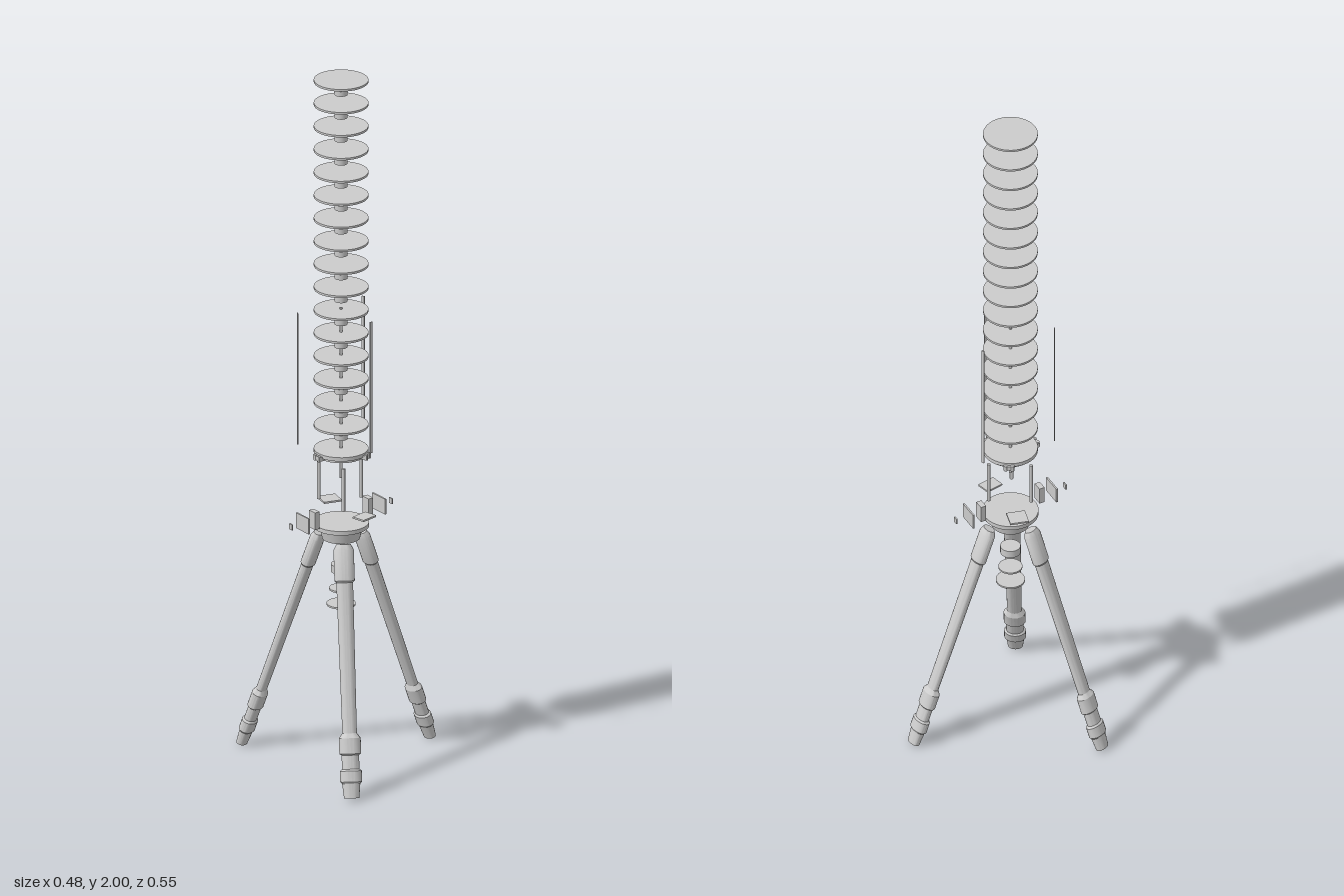
import * as THREE from 'three';
import { toCreasedNormals } from 'three/addons/utils/BufferGeometryUtils.js';

const AXIS_X = 0.067; // the mast stands slightly off centre

export function createModel() {
  const model = new THREE.Group();
  model.name = 'discMastOnTripod';
  const mat = new THREE.MeshStandardMaterial({ color: 0xcccccc });
  const column = new THREE.Group();
  column.name = 'column';
  column.position.x = AXIS_X;
  model.add(column);

  const add = (name, geometry, x, y, z = 0, parent = column) => {
    const mesh = new THREE.Mesh(geometry, mat);
    mesh.name = name;
    mesh.position.set(x, y, z);
    parent.add(mesh);
    return mesh;
  };
  // Cylinder given by its bottom and top heights
  const disc = (name, rTop, rBottom, y0, y1, sides = 40) =>
    add(name, new THREE.CylinderGeometry(rTop, rBottom, y1 - y0, sides), 0, (y0 + y1) / 2);
  // Group whose +x points outward at an angle around the mast
  const spoke = (name, degrees) => {
    const g = new THREE.Group();
    g.name = name;
    g.rotation.y = THREE.MathUtils.degToRad(degrees);
    column.add(g);
    return g;
  };
  const box = (name, parent, r, y, w, h, d) =>
    add(name, new THREE.BoxGeometry(w, h, d), r, y, 0, parent);

  // Stack of thin discs with small hubs floating between them
  const step = 0.0674;
  for (let i = 0; i < 16; i++) {
    const y = 2 - i * step;
    disc('stackDisc', 0.075, 0.075, y - 0.006, y);
    disc('spacerHub', 0.018, 0.018, y - 0.044, y - 0.029, 20);
  }
  disc('centreRod', 0.004, 0.004, 0.83, 1.33, 10);

  // Base plate of the stack, with clips on its rim
  disc('basePlate', 0.075, 0.075, 0.907, 0.918);
  disc('basePlateLip', 0.065, 0.065, 0.898, 0.907);
  for (const a of [0, 120, 240]) {
    const g = spoke('rimClip', a);
    box('clipBlock', g, 0.075, 0.906, 0.016, 0.012, 0.03);
    for (const s of [-1, 1])
      add('clipKnob', new THREE.CylinderGeometry(0.005, 0.005, 0.016, 10), 0.08, 0.906, s * 0.009, g);
  }

  // Thin strips around the stack
  for (const a of [84.4, -23, -144.6])
    box('outerStrip', spoke('outerStripArm', a), 0.121, 1.13, 0.003, 0.385, 0.008);

  // Posts between the tripod head and the base plate
  for (const a of [60, 180, 300])
    add('supportPost', new THREE.CylinderGeometry(0.005, 0.005, 0.125, 10), 0.067, 0.82, 0,
      spoke('supportPostArm', a));

  // Side devices: block, upright plate and end button, spaced outward
  for (const a of [60, -120]) {
    const g = spoke('sideDevice', a);
    box('deviceBlock', g, 0.09, 0.728, 0.016, 0.05, 0.028);
    box('devicePlate', g, 0.128, 0.725, 0.005, 0.045, 0.06);
    box('deviceButton', g, 0.168, 0.724, 0.004, 0.016, 0.014);
  }
  // Flat plates just above the head
  for (const [a, w, d] of [[136, 0.05, 0.052], [-17, 0.04, 0.052]])
    box('flatPlate', spoke('flatPlateArm', a), 0.085, 0.737, w, 0.005, d);

  // Tripod head
  disc('headTop', 0.077, 0.077, 0.69, 0.702);
  disc('headBody', 0.06, 0.052, 0.655, 0.69);

  // Discs hanging below the head
  disc('hangingCollar', 0.028, 0.028, 0.556, 0.578, 24);
  disc('weightTop', 0.033, 0.033, 0.503, 0.508, 24);
  disc('weightBottom', 0.04, 0.04, 0.458, 0.463, 24);

  // Tripod legs: one turned profile, flattened and tilted outward
  const profile = [
    [0, 0], [0.021, 0], [0.025, 0.04], [0.03, 0.045], [0.03, 0.075], [0.024, 0.08],
    [0.024, 0.118], [0.03, 0.122], [0.03, 0.165], [0.02, 0.178], [0.023, 0.59],
    [0.028, 0.595], [0.028, 0.68], [0.02, 0.695], [0, 0.695],
  ].map(([r, y]) => new THREE.Vector2(r, y));
  const legGeometry = toCreasedNormals(new THREE.LatheGeometry(profile, 20), 0.6);
  legGeometry.scale(0.7, 1, 1);
  for (const a of [60, 180, 300]) {
    const leg = add('tripodLeg', legGeometry, 0.298, 0.005, 0, spoke('tripodLegArm', a));
    leg.rotation.z = Math.atan(0.355);
  }
  return model;
}
